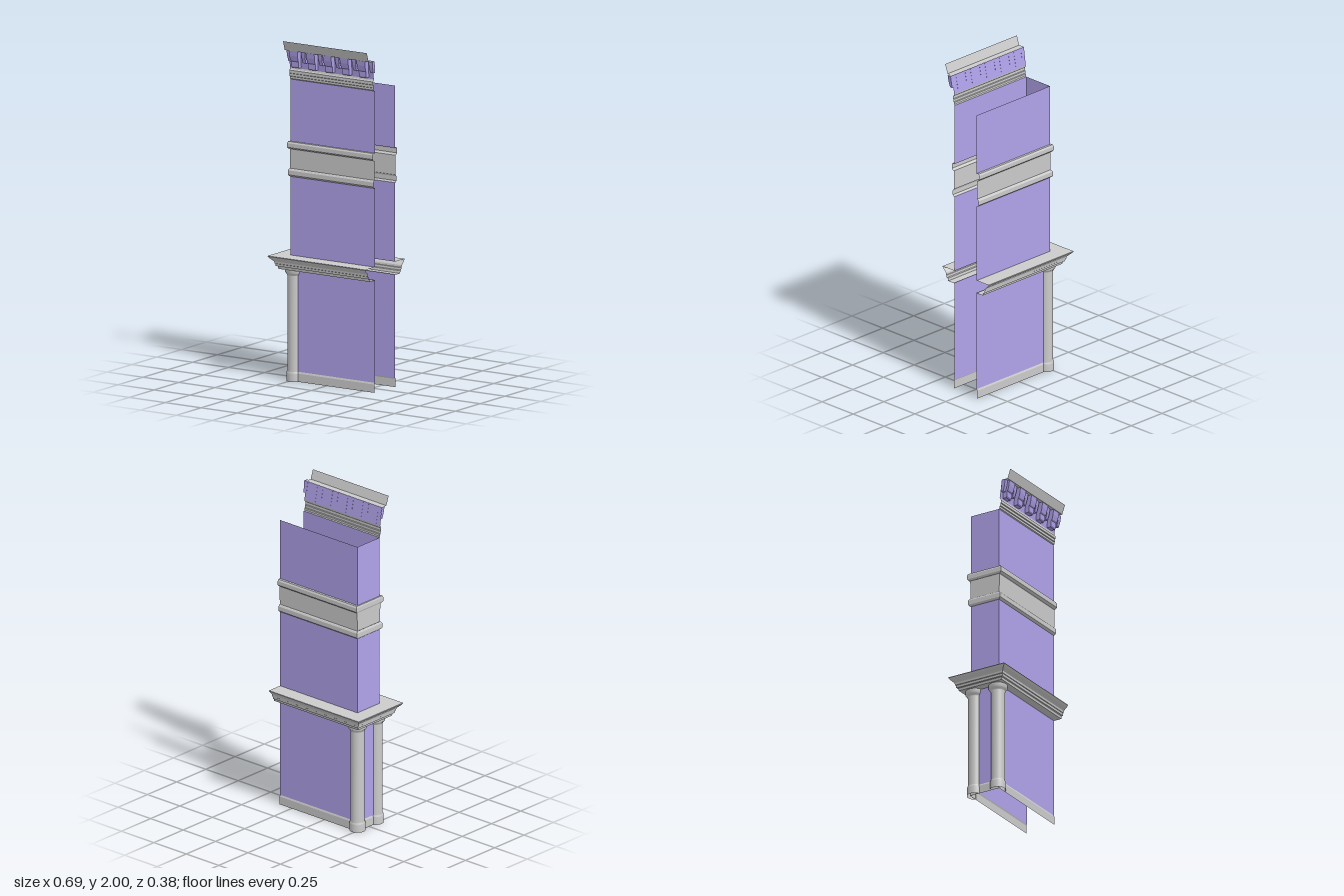
import * as THREE from 'three';

const grey = new THREE.MeshStandardMaterial({ color: 0xcccccc, side: THREE.DoubleSide, flatShading: true });
const smoothGrey = new THREE.MeshStandardMaterial({ color: 0xcccccc, side: THREE.DoubleSide });
const purple = new THREE.MeshStandardMaterial({ color: 0xb0a2ea, side: THREE.DoubleSide, flatShading: true });

const LEFT = -0.253, WALL = 0.095, FRONT_END = 0.333, BACK_END = 0.343;

// Open strip through rows of points; each quad keeps its own corners for crisp edges
function loft(rows) {
  const pos = [];
  for (let i = 0; i < rows.length - 1; i++) {
    for (let j = 0; j < rows[i].length - 1; j++) {
      const a = rows[i][j], b = rows[i][j + 1], c = rows[i + 1][j + 1], d = rows[i + 1][j];
      pos.push(...a, ...c, ...b, ...a, ...d, ...c);
    }
  }
  const g = new THREE.BufferGeometry();
  g.setAttribute('position', new THREE.Float32BufferAttribute(pos, 3));
  g.computeVertexNormals();
  return g;
}

// Profile [outset, y] mitred around the three-sided plan; kx scales the outset of the side
function aroundWalls(profile, kx = 1) {
  return loft(profile.map(([o, y]) => {
    const x = LEFT - o * kx, z = WALL + o;
    return [[BACK_END, y, -z], [x, y, -z], [x, y, z], [FRONT_END, y, z]];
  }));
}

// Profile [z, y] run along the front only
function alongFront(profile) {
  return loft(profile.map(([z, y]) => [[LEFT, y, z], [FRONT_END - 0.003, y, z]]));
}

// Tapered bracket extruded from its side profile [z, y]
function bracketGeometry(profile, width, taper) {
  const shape = new THREE.Shape(profile.map(([z, y]) => new THREE.Vector2(-z, y)));
  const g = new THREE.ExtrudeGeometry(shape, { depth: width, bevelEnabled: false });
  g.translate(0, 0, -width / 2);
  g.rotateY(Math.PI / 2);
  const p = g.attributes.position;
  for (let i = 0; i < p.count; i++) {
    p.setX(i, p.getX(i) * (1 - taper * (1.945 - p.getY(i)) / 0.1));
  }
  g.computeVertexNormals();
  return g;
}

export function createModel() {
  const model = new THREE.Group();
  const add = (name, geometry, material, parent = model) => {
    const mesh = new THREE.Mesh(geometry, material);
    mesh.name = name;
    parent.add(mesh);
    return mesh;
  };

  // Walls, open at the +x end
  add('lowerWalls', aroundWalls([[0, 0.055], [0, 0.66]]), purple);
  add('middleWalls', aroundWalls([[0, 0.735], [0, 1.197]]), purple);
  add('upperWalls', aroundWalls([[0, 1.4], [0, 1.765]]), purple);
  add('plinth', aroundWalls([[0.004, 0], [0.004, 0.048], [0, 0.058]]), grey);

  // Stepped ledge above the columns
  add('ledge', aroundWalls([
    [0, 0.657], [0.05, 0.657], [0.053, 0.672], [0.061, 0.674], [0.063, 0.688], [0.066, 0.69],
    [0.068, 0.702], [0.077, 0.712], [0.086, 0.72], [0.095, 0.732], [0.095, 0.735], [0, 0.735],
  ]), grey);

  // Belt: two mouldings with a plain band between
  add('beltLowerMoulding', aroundWalls([
    [0, 1.195], [0.008, 1.2], [0.013, 1.206], [0.013, 1.232], [0.008, 1.24], [0.002, 1.243],
  ], 0.75), grey);
  add('beltBand', aroundWalls([[0.002, 1.243], [0.004, 1.357]], 0.5), grey);
  add('beltUpperMoulding', aroundWalls([
    [0.004, 1.357], [0.013, 1.36], [0.02, 1.368], [0.02, 1.392], [0.014, 1.402], [0, 1.402],
  ], 0.55), grey);

  // Three-quarter columns wrapped on the two closed corners
  const columnProfile = [
    [0.046, 0], [0.046, 0.045], [0.044, 0.053], [0.04, 0.06], [0.04, 0.618], [0.044, 0.622],
    [0.047, 0.63], [0.054, 0.636], [0.055, 0.657],
  ].map(([r, y]) => new THREE.Vector2(r, y));
  const columnGeometry = new THREE.LatheGeometry(columnProfile, 24, -2.78, 3.95);
  for (const side of [1, -1]) {
    const column = add(side > 0 ? 'frontColumn' : 'backColumn', columnGeometry, smoothGrey);
    column.position.set(-0.238, 0, 0.078 * side);
    column.scale.z = side;
  }

  // Front cornice
  const cornice = new THREE.Group();
  cornice.name = 'cornice';
  model.add(cornice);
  add('corniceMoulding', alongFront([
    [0.095, 1.765], [0.1, 1.77], [0.1, 1.782], [0.104, 1.785], [0.104, 1.8], [0.108, 1.803],
    [0.108, 1.82], [0.102, 1.826], [0.1, 1.835],
  ]), grey, cornice);
  add('corniceFrieze', alongFront([[0.1, 1.835], [0.115, 1.945]]), purple, cornice);
  add('corniceSoffitAndFascia', alongFront([[0.115, 1.945], [0.153, 1.945], [0.172, 2]]), grey, cornice);

  // Alternating large and small brackets
  const large = bracketGeometry([
    [0.114, 1.944], [0.15, 1.944], [0.146, 1.915], [0.138, 1.886], [0.132, 1.88],
    [0.13, 1.85], [0.124, 1.842], [0.1, 1.842],
  ], 0.06, 0.2);
  const small = bracketGeometry([
    [0.114, 1.944], [0.137, 1.944], [0.132, 1.91], [0.122, 1.875], [0.104, 1.875],
  ], 0.028, 0.35);
  for (let i = 0; i < 5; i++) {
    const x = -0.198 + i * 0.1175;
    add('largeBracket', large, purple, cornice).position.x = x;
    add('smallBracket', small, purple, cornice).position.x = x + 0.0588;
  }
  add('smallBracket', small, purple, cornice).position.x = -0.239;

  return model;
}
